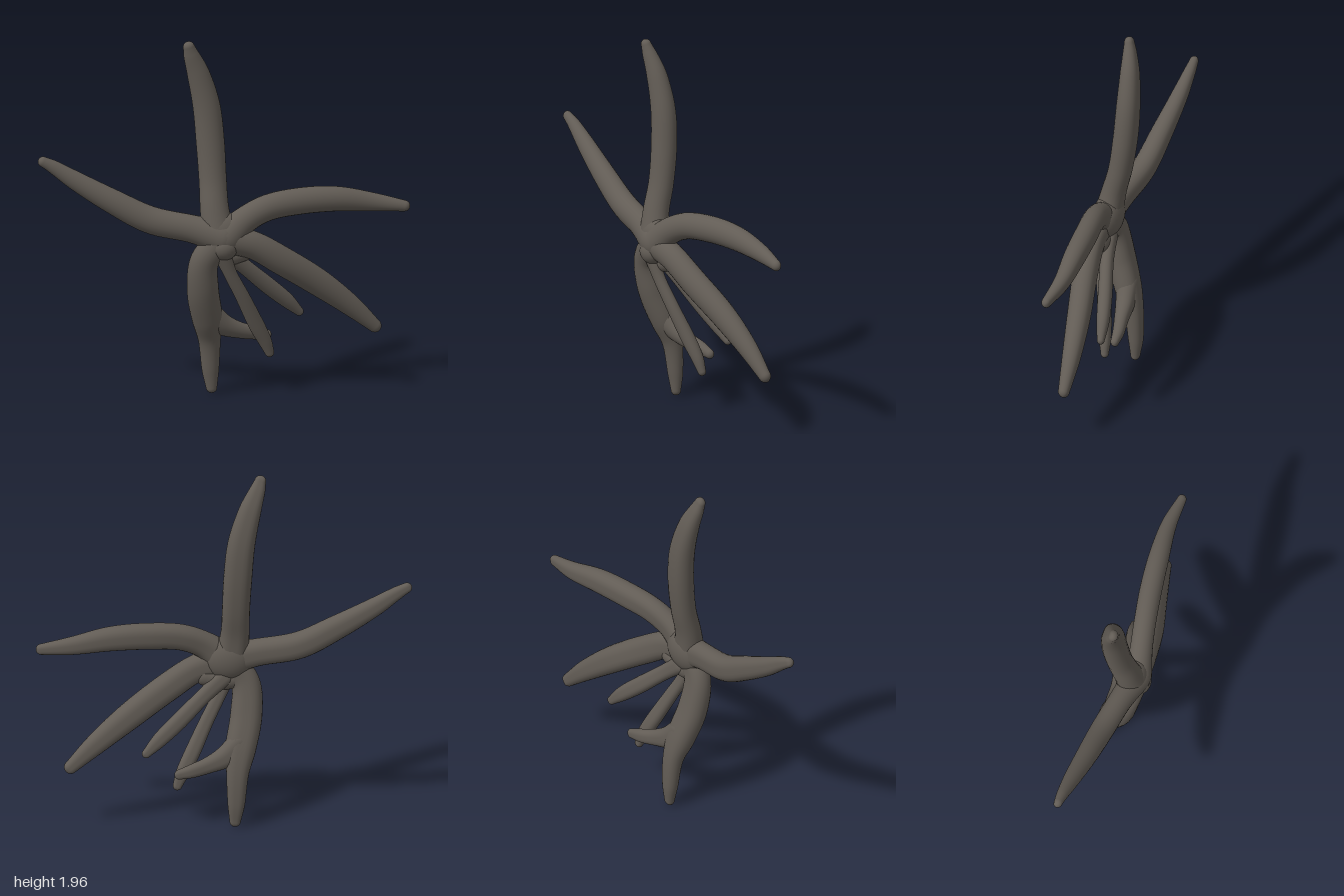
import * as THREE from 'three';

const SIDES = 24, STEPS = 44, CAP = 7;

// Tapered round-ended arm along points [x, y, z, radius], a little flat in z, with a soft groove behind.
function armGeometry(points, depth = 0.88, groove = 0.14) {
  const path = new THREE.CatmullRomCurve3(points.map(p => new THREE.Vector3(p[0], p[1], p[2])));
  const radii = new THREE.CatmullRomCurve3(points.map((p, i) => new THREE.Vector3(p[3], i * 0.2, 0)));
  const rings = [];
  for (let i = 0; i <= CAP; i++) rings.push([0, -Math.PI / 2 * (1 - i / CAP)]);
  for (let i = 1; i < STEPS; i++) rings.push([i / STEPS, 0]);
  for (let i = 0; i <= CAP; i++) rings.push([1, Math.PI / 2 * i / CAP]);

  const pos = [], index = [], front = new THREE.Vector3(0, 0, 1);
  rings.forEach(([t, cap], i) => {
    const r = radii.getPoint(t).x;
    const along = path.getTangent(t);
    const side = along.clone().cross(front).normalize();
    const out = side.clone().cross(along).normalize();
    const c = path.getPoint(t).addScaledVector(along, r * Math.sin(cap));
    for (let j = 0; j < SIDES; j++) {
      const a = j / SIDES * Math.PI * 2;
      const back = Math.max(0, -Math.sin(a));
      const k = r * Math.cos(cap) * (1 - groove * back ** 8);
      const p = c.clone()
        .addScaledVector(side, k * Math.cos(a))
        .addScaledVector(out, k * depth * Math.sin(a));
      pos.push(p.x, p.y, p.z);
      if (i > 0) {
        const n = (j + 1) % SIDES, lo = (i - 1) * SIDES, hi = i * SIDES;
        index.push(lo + j, hi + j, lo + n, lo + n, hi + j, hi + n);
      }
    }
  });
  const g = new THREE.BufferGeometry();
  g.setAttribute('position', new THREE.Float32BufferAttribute(pos, 3));
  g.setIndex(index);
  g.computeVertexNormals();
  return g;
}

export function createModel() {
  const group = new THREE.Group();
  const skin = new THREE.MeshStandardMaterial({ color: 0x625c55 });
  skin.name = 'greyBrownSkin';
  const add = (name, geometry) => {
    const mesh = new THREE.Mesh(geometry, skin);
    mesh.name = name;
    group.add(mesh);
    return mesh;
  };

  // Arms, from the centre to the tip
  const arms = {
    topArm: [[-0.04, 0.9, 0.05, 0.09], [-0.06, 1.05, 0.025, 0.077], [-0.065, 1.2, -0.01, 0.074],
      [-0.075, 1.4, -0.035, 0.076], [-0.095, 1.6, -0.042, 0.073], [-0.14, 1.78, -0.03, 0.06],
      [-0.18, 1.89, -0.01, 0.042], [-0.194, 1.935, 0, 0.031]],
    rightSideArm: [[-0.02, 0.9, 0.06, 0.09], [-0.18, 0.945, 0.035, 0.075], [-0.4, 0.995, 0.01, 0.074],
      [-0.6, 1.1, 0, 0.066], [-0.8, 1.22, -0.01, 0.051], [-0.92, 1.3, -0.012, 0.036], [-0.97, 1.328, -0.01, 0.028]],
    leftSideArm: [[0, 0.9, 0.06, 0.09], [0.1, 0.985, 0.04, 0.073], [0.22, 1.04, 0.012, 0.071],
      [0.4, 1.062, -0.025, 0.072], [0.6, 1.06, -0.055, 0.067], [0.8, 1.03, -0.075, 0.05], [0.965, 1.006, -0.066, 0.03]],
    lowerLeftArm: [[0, 0.89, 0.06, 0.08], [0.14, 0.85, 0.05, 0.075], [0.3, 0.75, 0.02, 0.077],
      [0.5, 0.61, -0.035, 0.073], [0.68, 0.465, -0.075, 0.057], [0.81, 0.345, -0.095, 0.036]],
    bottomArm: [[-0.03, 0.88, 0.06, 0.08], [-0.115, 0.77, 0.045, 0.078], [-0.12, 0.6, 0.01, 0.085],
      [-0.09, 0.43, -0.045, 0.082], [-0.073, 0.3, -0.085, 0.06], [-0.066, 0.13, -0.1, 0.046], [-0.06, 0.035, -0.1, 0.03]],
    smallOuterArm: [[0, 0.81, 0.02, 0.05], [0.1, 0.72, -0.01, 0.042], [0.24, 0.59, -0.065, 0.045],
      [0.34, 0.5, -0.1, 0.04], [0.41, 0.43, -0.12, 0.024]],
    smallInnerArm: [[-0.02, 0.8, 0.07, 0.045], [0.02, 0.7, 0.055, 0.036], [0.09, 0.56, 0.02, 0.038],
      [0.17, 0.39, -0.03, 0.042], [0.22, 0.29, -0.055, 0.036], [0.245, 0.225, -0.065, 0.025]],
    sideBranch: [[-0.09, 0.46, -0.045, 0.07], [-0.01, 0.39, -0.065, 0.06], [0.08, 0.35, -0.085, 0.045],
      [0.17, 0.325, -0.11, 0.037], [0.235, 0.31, -0.12, 0.027]],
  };
  for (const [name, points] of Object.entries(arms)) add(name, armGeometry(points));

  // Central disc where the arms meet, and the knob on its front
  const disc = add('centralDisc', new THREE.SphereGeometry(1, 32, 20));
  disc.scale.set(0.135, 0.125, 0.08);
  disc.position.set(-0.025, 0.91, 0.045);
  const knob = add('frontKnob', new THREE.SphereGeometry(1, 24, 16));
  knob.scale.set(0.075, 0.07, 0.065);
  knob.position.set(-0.015, 0.85, 0.078);

  // Fillet between the bottom arm and the small arms
  add('lowerWeb', armGeometry([[-0.08, 0.8, 0.04, 0.055], [0, 0.79, 0.035, 0.055], [0.1, 0.81, 0.03, 0.05]], 0.8, 0));
  return group;
}
